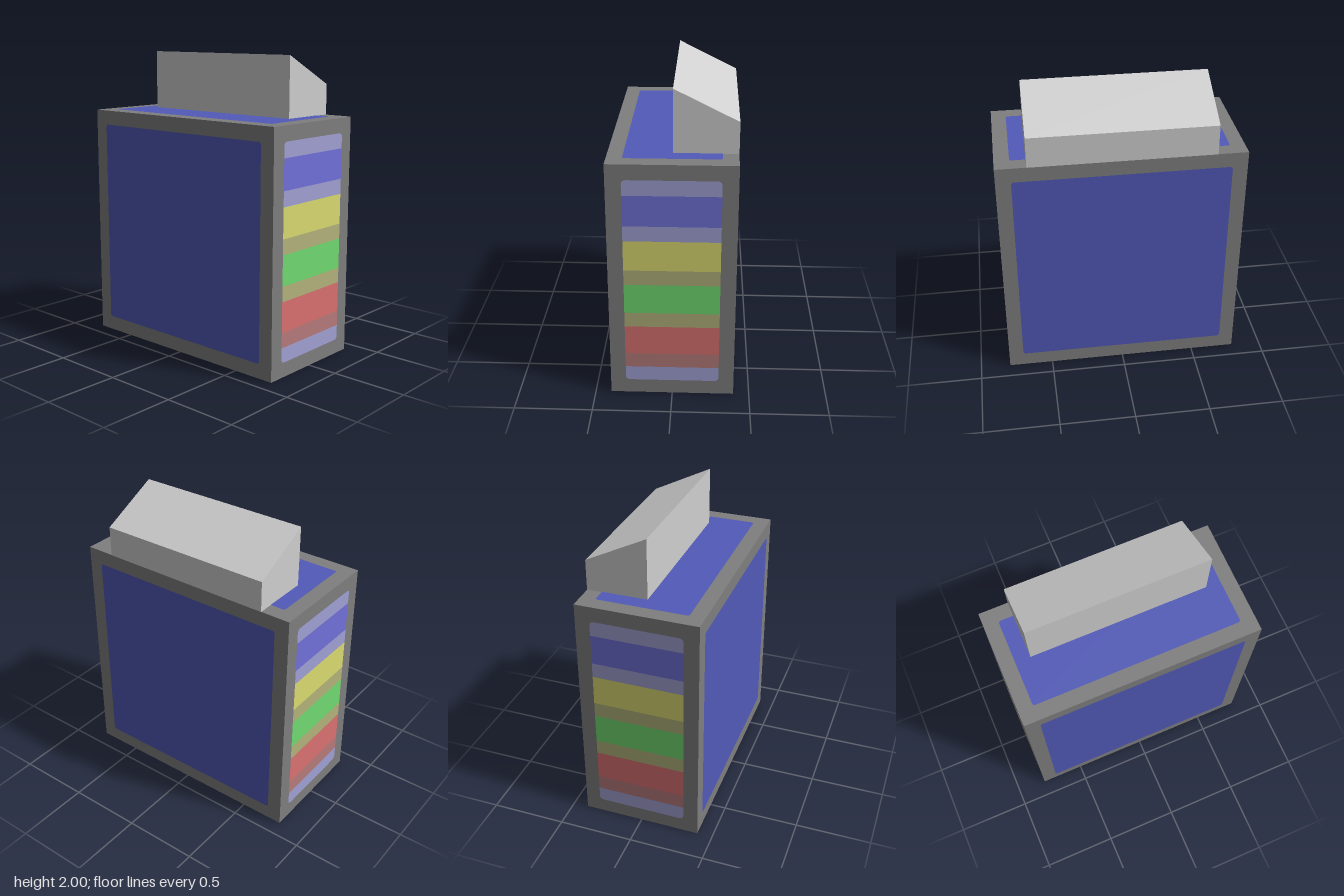
import * as THREE from 'three';

const paint = (name, color) => {
  const m = new THREE.MeshStandardMaterial({ color });
  m.name = name;
  return m;
};

// Flat panel with separately rounded bottom (rb) and top (rt) corners
function panelGeometry(w, y0, y1, rb, rt) {
  const x = w / 2, s = new THREE.Shape();
  s.moveTo(-x + rb, y0);
  s.lineTo(x - rb, y0);
  if (rb) s.quadraticCurveTo(x, y0, x, y0 + rb);
  s.lineTo(x, y1 - rt);
  if (rt) s.quadraticCurveTo(x, y1, x - rt, y1);
  s.lineTo(-x + rt, y1);
  if (rt) s.quadraticCurveTo(-x, y1, -x, y1 - rt);
  s.lineTo(-x, y0 + rb);
  if (rb) s.quadraticCurveTo(-x, y0, -x + rb, y0);
  return new THREE.ShapeGeometry(s, 6);
}

export function createModel() {
  const model = new THREE.Group();
  const grey = paint('frame grey', 0x7f7f7f);
  const silver = paint('light grey', 0xd0d0d0);
  const blue = paint('panel blue', 0x515ab8);
  const lavender = paint('lavender', 0xa2a2d6);
  const violet = paint('violet blue', 0x7272dc);
  const yellow = paint('yellow', 0xdcdc72);
  const olive = paint('olive', 0xb4b47c);
  const green = paint('green', 0x72dc72);
  const red = paint('red', 0xdc7272);
  const dustyRed = paint('dusty red', 0xb87c7c);

  const add = (name, geometry, material, parent = model) => {
    const mesh = new THREE.Mesh(geometry, material);
    mesh.name = name;
    parent.add(mesh);
    return mesh;
  };

  // Body, set in slightly so that the panels lie on the outer size
  const gap = 0.002;
  add('body', new THREE.BoxGeometry(0.8 - 2 * gap, 1.6 - 2 * gap, 1.6 - 2 * gap), grey).position.y = 0.8;

  // Sloped block on one half of the top
  const slope = new THREE.Shape([[0, 1.6 - gap], [0.4, 1.6 - gap], [0.4, 1.8], [0, 2]]
    .map(([x, y]) => new THREE.Vector2(x, y)));
  add('topWedge', new THREE.ExtrudeGeometry(slope, { depth: 1.2, bevelEnabled: false }), silver).position.z = -0.6;

  // Blue side panels
  for (const s of [-1, 1]) {
    const side = add(s > 0 ? 'leftPanel' : 'rightPanel', panelGeometry(1.4, 0.1, 1.5, 0.02, 0.02), blue);
    side.position.x = 0.4 * s;
    side.rotation.y = s * Math.PI / 2;
  }

  // Blue top and bottom panels
  for (const s of [-1, 1]) {
    const cap = add(s > 0 ? 'topPanel' : 'bottomPanel', panelGeometry(0.6, -0.7, 0.7, 0.02, 0.02), blue);
    cap.position.y = s > 0 ? 1.6 : 0;
    cap.rotation.x = -s * Math.PI / 2;
  }

  // Striped panels on the front and back: [material, bottom, top]
  const stripes = [
    [lavender, 0.1, 0.2], [dustyRed, 0.2, 0.3], [red, 0.3, 0.5], [olive, 0.5, 0.6], [green, 0.6, 0.8],
    [olive, 0.8, 0.9], [yellow, 0.9, 1.1], [lavender, 1.1, 1.2], [violet, 1.2, 1.4], [lavender, 1.4, 1.5],
  ];
  for (const s of [-1, 1]) {
    const face = new THREE.Group();
    face.name = s > 0 ? 'frontStripes' : 'backStripes';
    stripes.forEach(([material, y0, y1], i) => add('stripe', panelGeometry(0.6, y0, y1,
      i === 0 ? 0.03 : 0, i === stripes.length - 1 ? 0.03 : 0), material, face));
    face.position.z = 0.8 * s;
    face.rotation.y = s > 0 ? 0 : Math.PI;
    model.add(face);
  }
  return model;
}
